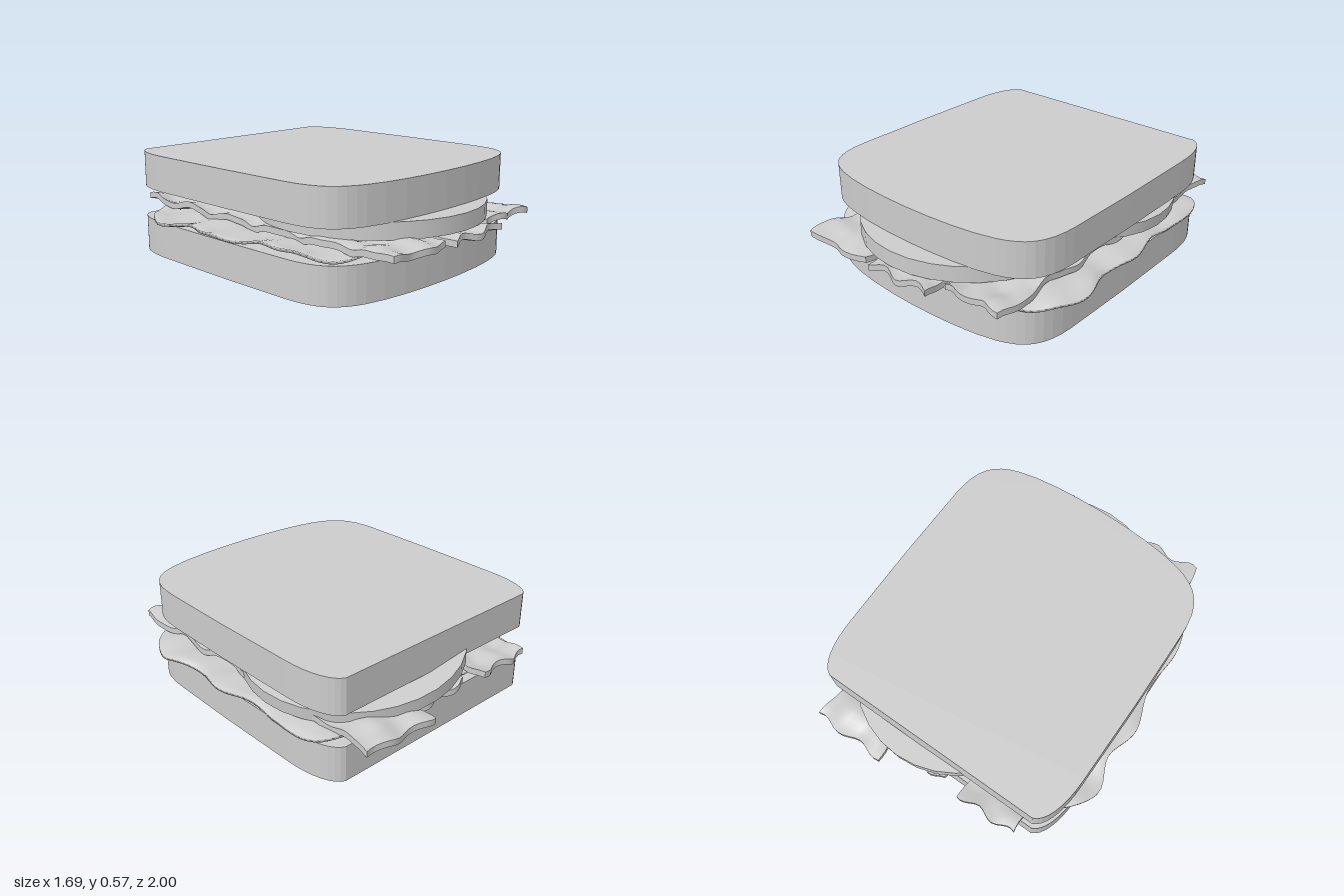
import * as THREE from 'three';

const material = new THREE.MeshStandardMaterial({ color: 0xcccccc, side: THREE.DoubleSide });

function addMesh(parent, name, geometry) {
  const mesh = new THREE.Mesh(geometry, material);
  mesh.name = name;
  parent.add(mesh);
  return mesh;
}

// Bread outline: straight back edge, softly rounded corners, bowed front
function breadSlice() {
  const s = new THREE.Shape();
  s.moveTo(-0.65, 0.81);
  s.lineTo(0.65, 0.81);
  s.bezierCurveTo(0.71, 0.79, 0.755, 0.68, 0.755, 0.5);
  s.lineTo(0.76, 0);
  s.lineTo(0.755, -0.45);
  s.bezierCurveTo(0.75, -0.66, 0.68, -0.73, 0.54, -0.775);
  s.bezierCurveTo(0.3, -0.85, -0.3, -0.85, -0.54, -0.775);
  s.bezierCurveTo(-0.68, -0.73, -0.75, -0.66, -0.755, -0.45);
  s.lineTo(-0.76, 0);
  s.lineTo(-0.755, 0.5);
  s.bezierCurveTo(-0.755, 0.68, -0.71, 0.79, -0.65, 0.81);
  const g = new THREE.ExtrudeGeometry(s, { depth: 0.2, bevelEnabled: false, curveSegments: 8 });
  return g.rotateX(-Math.PI / 2);
}

// Lettuce: a thin disc stretched to a wavy outline and ruffled toward its rim
function lettuceLeaf() {
  const outline = new THREE.CatmullRomCurve3([
    [0, 0.76], [0.4, 0.77], [0.68, 0.72], [0.84, 0.46], [0.775, 0.2], [0.815, 0],
    [0.755, -0.3], [0.78, -0.55], [0.74, -0.73], [0.5, -0.77], [0, -0.75], [-0.45, -0.77],
    [-0.72, -0.64], [-0.845, -0.45], [-0.78, -0.25], [-0.83, -0.05], [-0.76, 0.2],
    [-0.77, 0.5], [-0.68, 0.7], [-0.4, 0.76],
  ].map(([x, z]) => new THREE.Vector3(x, 0, z)), true).getSpacedPoints(160);
  const rings = 16, half = 0.008, profile = [];
  for (let i = 0; i <= rings; i++) profile.push(new THREE.Vector2(i / rings, -half));
  for (let i = rings; i >= 0; i--) profile.push(new THREE.Vector2(i / rings, half));
  const g = new THREE.LatheGeometry(profile, 160);
  const p = g.attributes.position;
  for (let i = 0; i < p.count; i++) {
    const { x: r, y: h } = profile[i % profile.length];
    const edge = outline[Math.floor(i / profile.length)];
    const x = edge.x * r, z = edge.z * r;
    const ruffle = Math.sin(11 * z + 4 * x) * 0.009 + Math.sin(23 * z - 9 * x + 1) * 0.006
      + Math.sin(17 * x + 5 * z) * 0.005;
    const droop = r > 0.9 ? -0.012 * x * (r - 0.9) * 10 : 0;
    p.setXYZ(i, x, 0.228 + h + ruffle * (0.4 + 0.6 * r * r) + droop, z);
  }
  g.computeVertexNormals();
  return g;
}

// Bacon: a subdivided strip with wandering edges and ripples along and across
function baconStrip({ back, front, z0, z1, phase }) {
  const g = new THREE.BoxGeometry(1, 0.034, 1, 14, 1, 64);
  const p = g.attributes.position;
  for (let i = 0; i < p.count; i++) {
    const u = p.getX(i) + 0.5, t = p.getZ(i) + 0.5, h = p.getY(i);
    const left = THREE.MathUtils.lerp(back[0], front[0], t) + 0.015 * Math.sin(t * 31 + phase);
    const right = THREE.MathUtils.lerp(back[1], front[1], t) + 0.015 * Math.sin(t * 27 + phase * 2);
    const x = THREE.MathUtils.lerp(left, right, u);
    const endWave = 0.018 * Math.sin(u * 11 + phase) * Math.abs(2 * t - 1) ** 6;
    const z = THREE.MathUtils.lerp(z0, z1, t) + endWave;
    const y = 0.264 + h + 0.011 * Math.sin(t * 34 + phase + u * 2)
      + 0.009 * Math.sin(u * 12 + phase * 3 + t * 5) + 0.004 * Math.sin(t * 71 - u * 6);
    p.setXYZ(i, x, y, z);
  }
  g.computeVertexNormals();
  return g;
}

export function createModel() {
  const sandwich = new THREE.Group();
  sandwich.name = 'sandwich';

  addMesh(sandwich, 'bottomBread', breadSlice());
  addMesh(sandwich, 'topBread', breadSlice()).position.y = 0.375;
  addMesh(sandwich, 'lettuce', lettuceLeaf());

  // Three bacon strips side by side, running front to back
  const strips = [
    { back: [-0.6, -0.25], front: [-0.6, -0.18], z0: -0.9, z1: 0.975, phase: 0.6 },
    { back: [-0.13, 0.24], front: [-0.14, 0.28], z0: -0.88, z1: 0.975, phase: 2.1 },
    { back: [0.25, 0.66], front: [0.31, 0.67], z0: -0.985, z1: 0.89, phase: 4 },
  ];
  const bacon = new THREE.Group();
  bacon.name = 'bacon';
  sandwich.add(bacon);
  strips.forEach((strip, i) => addMesh(bacon, `baconStrip${i + 1}`, baconStrip(strip)));

  // Two tomato slices, the rear one tilted against the front one
  const tomato = new THREE.CylinderGeometry(0.62, 0.62, 0.09, 32);
  addMesh(sandwich, 'frontTomato', tomato).position.set(0, 0.332, 0.33);
  const rear = addMesh(sandwich, 'rearTomato', new THREE.CylinderGeometry(0.6, 0.6, 0.07, 32));
  rear.position.set(0.15, 0.352, -0.325);
  rear.rotation.set(-0.04, 0, -0.11);

  return sandwich;
}
